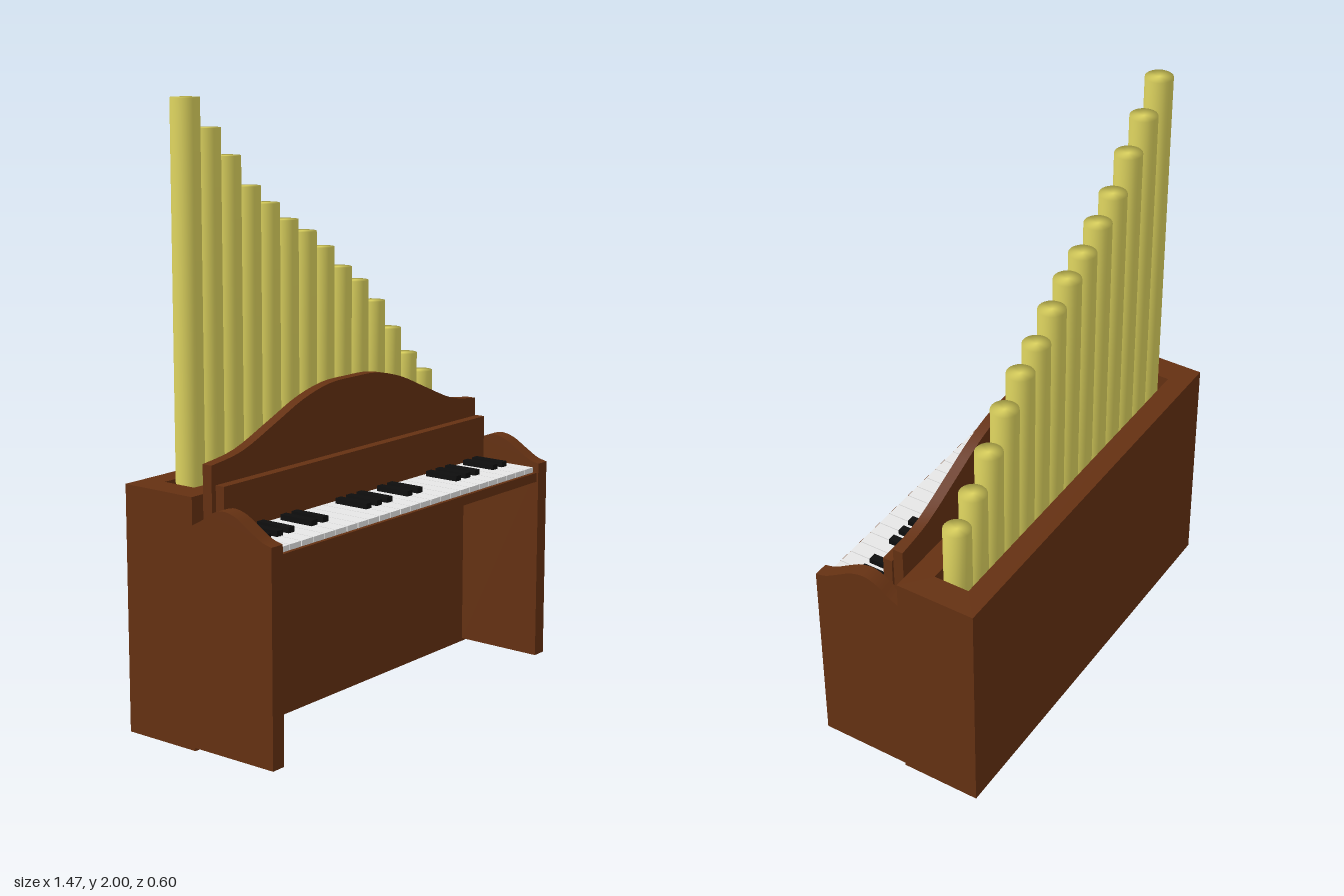
import * as THREE from 'three';
import { mergeVertices, toCreasedNormals } from 'three/addons/utils/BufferGeometryUtils.js';

const mat = (name, color) => Object.assign(new THREE.MeshStandardMaterial({ color }), { name });

export function createModel() {
  const wood = mat('brown wood', 0x653112);
  const brass = mat('brass', 0xded45f);
  const ivory = mat('white key', 0xececec);
  const ebony = mat('black key', 0x0e0e0e);

  const model = new THREE.Group();
  model.name = 'pipeOrgan';

  const add = (name, geometry, material, parent = model) => {
    const mesh = new THREE.Mesh(geometry, material);
    mesh.name = name;
    parent.add(mesh);
    return mesh;
  };
  // Box given by its lower and upper limits on each axis
  const box = (name, [x0, x1], [y0, y1], [z0, z1], material, parent) => {
    const g = new THREE.BoxGeometry(x1 - x0, y1 - y0, z1 - z0);
    g.translate((x0 + x1) / 2, (y0 + y1) / 2, (z0 + z1) / 2);
    return add(name, g, material, parent);
  };
  const group = (name) => {
    const g = new THREE.Group();
    g.name = name;
    model.add(g);
    return g;
  };
  const spline = (pts, n) =>
    new THREE.SplineCurve(pts.map(([x, y]) => new THREE.Vector2(x, y))).getPoints(n);
  const extrude = (shape, depth) =>
    toCreasedNormals(new THREE.ExtrudeGeometry(shape, { depth, bevelEnabled: false }), 0.6);

  // Cabinet: solid lower body, and a rim around the pipe well
  const cabinet = group('cabinet');
  const rimBase = 0.71;
  box('cabinetBody', [-0.737, 0.737], [0, rimBase], [-0.297, -0.017], wood, cabinet);
  const rect = (C, x, z0, z1) => {
    const p = new C();
    p.moveTo(-x, -z1).lineTo(x, -z1).lineTo(x, -z0).lineTo(-x, -z0).closePath();
    return p;
  };
  const rim = rect(THREE.Shape, 0.737, -0.297, -0.017);
  rim.holes.push(rect(THREE.Path, 0.642, -0.22, -0.095));
  const rimMesh = add('cabinetRim', extrude(rim, 0.1).rotateX(-Math.PI / 2), wood, cabinet);
  rimMesh.position.y = rimBase;

  // Side cheeks with a curved top, profile drawn in (z, y)
  const cheek = new THREE.Shape();
  cheek.moveTo(-0.017, 0.01).lineTo(0.3, 0.01);
  spline([[0.3, 0.705], [0.26, 0.716], [0.21, 0.745], [0.16, 0.774], [0.11, 0.785],
    [0.065, 0.772], [0.02, 0.742], [-0.017, 0.722]], 24)
    .forEach((p) => cheek.lineTo(p.x, p.y));
  cheek.closePath();
  for (const [name, x] of [['leftCheek', 0.686], ['rightCheek', -0.737]]) {
    const g = extrude(cheek, 0.051).rotateY(-Math.PI / 2).translate(0.051, 0, 0);
    add(name, g, wood).position.x = x;
  }

  // Arched music panel and the ledge board in front of it
  const panel = new THREE.Shape();
  panel.moveTo(-0.692, 0.72).lineTo(0.692, 0.72);
  const half = [[0.692, 0.905], [0.55, 0.927], [0.39, 0.99], [0.255, 1.045], [0.125, 1.076]];
  spline([...half, [0, 1.08], ...half.map(([x, y]) => [-x, y]).reverse()], 40)
    .forEach((p) => panel.lineTo(p.x, p.y));
  panel.closePath();
  add('musicPanel', extrude(panel, 0.036), wood).position.z = -0.012;
  box('ledgeBoard', [-0.686, 0.686], [0.698, 0.845], [0.035, 0.068], wood);

  // Keyboard
  const keyboard = group('keyboard');
  box('keyBed', [-0.686, 0.686], [0.64, 0.672], [0.035, 0.293], wood, keyboard);
  const count = 25, pitch = 1.37 / count;
  for (let i = 0; i < count; i++) {
    const x = -0.685 + i * pitch;
    box('whiteKey', [x + 0.0015, x + pitch - 0.0015], [0.672, 0.69], [0.036, 0.28], ivory, keyboard);
    // Black keys sit on the joints in groups of three and two
    if ([1, 2, 3, 5, 6].includes(i % 9)) {
      box('blackKey', [x - 0.014, x + 0.014], [0.68, 0.708], [0.068, 0.195], ebony, keyboard);
    }
  }

  // Pipes, falling in height from right to left, with softly shaded tops
  const pipes = group('pipes');
  const tops = [2, 1.905, 1.815, 1.715, 1.655, 1.595, 1.55, 1.49, 1.415, 1.36, 1.28, 1.175, 1.075, 1];
  tops.forEach((top, i) => {
    const h = top - rimBase;
    let g = new THREE.CylinderGeometry(0.046, 0.046, h, 24);
    g.deleteAttribute('normal');
    g.deleteAttribute('uv');
    g = mergeVertices(g);
    g.computeVertexNormals();
    add('pipe', g, brass, pipes).position.set(-0.597 + i * 0.0918, rimBase + h / 2, -0.152);
  });

  return model;
}
